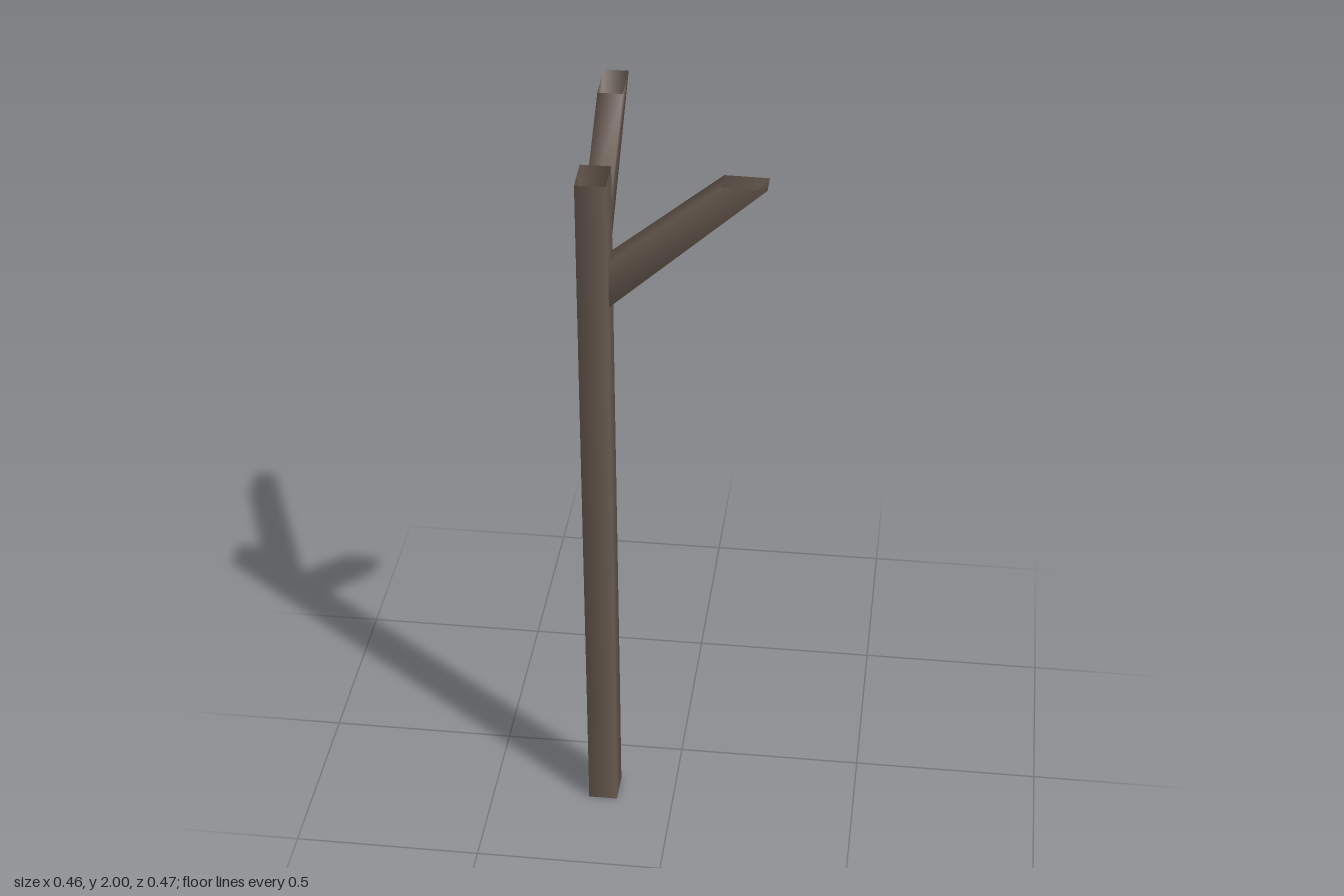
import * as THREE from 'three';

// Open smooth tube lofted through four-cornered rings; corners run
// counter-clockwise when looking back from the far end.
function loft(name, rings, material) {
  const index = [];
  for (let r = 0; r < rings.length - 1; r++) {
    for (let i = 0; i < 4; i++) {
      const a = r * 4 + i, b = r * 4 + (i + 1) % 4;
      index.push(a, b, b + 4, a, b + 4, a + 4);
    }
  }
  const geometry = new THREE.BufferGeometry();
  geometry.setAttribute('position', new THREE.Float32BufferAttribute(rings.flat(2), 3));
  geometry.setIndex(index);
  geometry.computeVertexNormals();
  const mesh = new THREE.Mesh(geometry, material);
  mesh.name = name;
  return mesh;
}

// Horizontal ring of the post, with separate front and back heights
const postRing = (yFront, yBack, x0, x1, z0, z1) => [
  [x0, yFront, z1], [x1, yFront, z1], [x1, yBack, z0], [x0, yBack, z0],
];

// Ring of the branch that reaches to the left (+x)
const sideRing = (xLow, yLow, xHigh, yHigh, z0, z1) => [
  [xLow, yLow, z1], [xLow, yLow, z0], [xHigh, yHigh, z0], [xHigh, yHigh, z1],
];

// Ring of the branch that reaches to the back (-z)
const backRing = (zLow, yLow, zHigh, yHigh, x0, x1) => [
  [x1, yLow, zLow], [x0, yLow, zLow], [x0, yHigh, zHigh], [x1, yHigh, zHigh],
];

export function createModel() {
  const bark = new THREE.MeshStandardMaterial({ color: 0x66584e, side: THREE.DoubleSide });
  bark.name = 'bark brown';

  const group = new THREE.Group();
  group.name = 'forkedPost';

  // Upright post, leaning very slightly backwards, open at both ends
  group.add(loft('post', [
    postRing(0, 0, -0.233, -0.155, 0.142, 0.232),
    postRing(0.3, 0.3, -0.233, -0.155, 0.139, 0.23),
    postRing(1.3, 1.3, -0.233, -0.156, 0.138, 0.228),
    postRing(1.91, 1.92, -0.233, -0.156, 0.135, 0.225),
  ], bark));

  // Two open branches with level-cut tips
  group.add(loft('sideBranch', [
    sideRing(-0.157, 1.57, -0.157, 1.695, 0.147, 0.211),
    sideRing(0.23, 1.918, 0.12, 1.92, 0.148, 0.213),
  ], bark));
  group.add(loft('backBranch', [
    backRing(0.148, 1.645, 0.148, 1.762, -0.228, -0.164),
    backRing(-0.235, 2.0, -0.127, 1.987, -0.227, -0.163),
  ], bark));

  return group;
}
